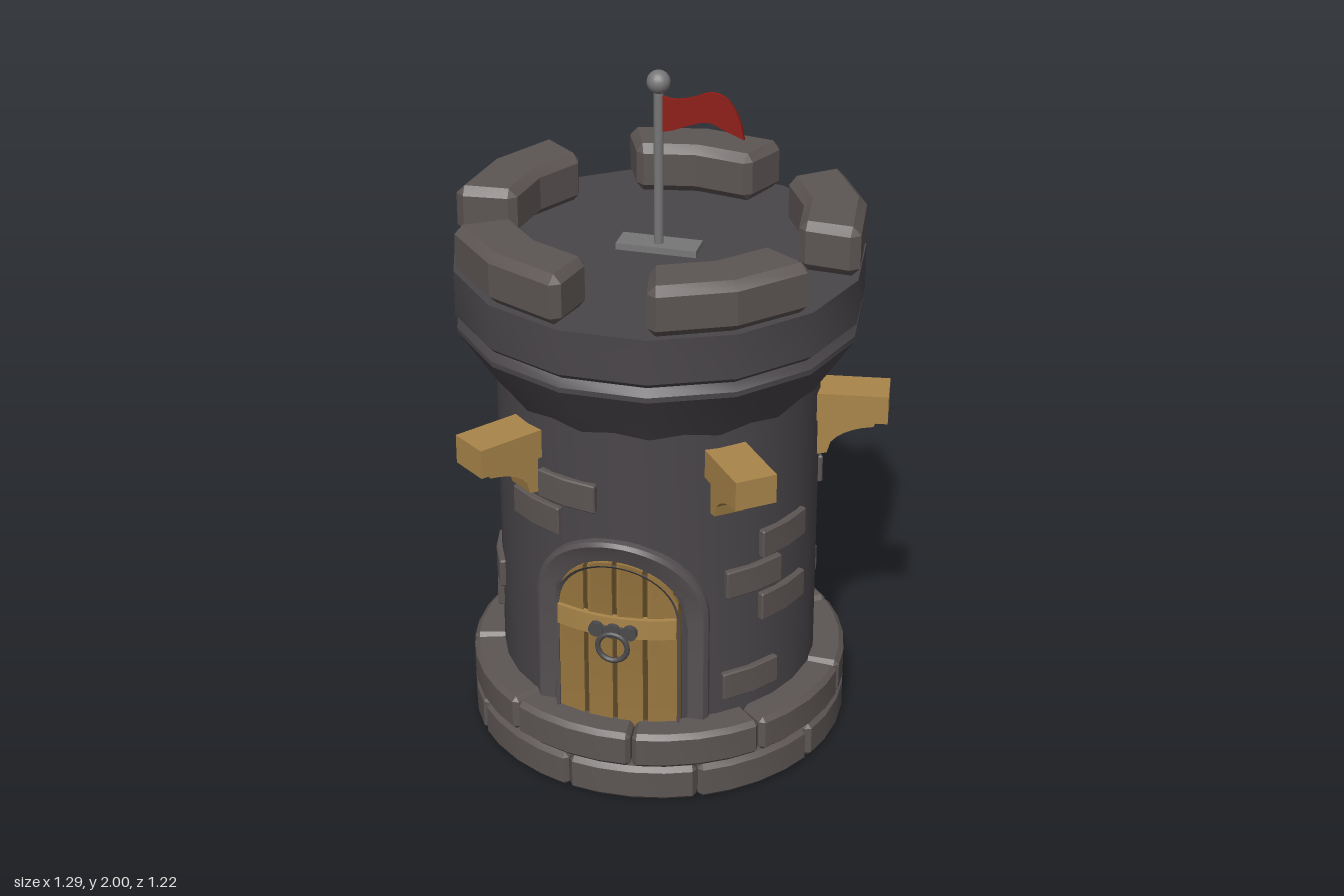
import * as THREE from 'three';
import { toCreasedNormals } from 'three/addons/utils/BufferGeometryUtils.js';

const rad = THREE.MathUtils.degToRad;
const paint = (color) => new THREE.MeshStandardMaterial({ color, side: THREE.DoubleSide });
const wall = paint(0x4a464a), stone = paint(0x5c5553), trim = paint(0x575153);
const wood = paint(0xa9854a), plankWood = paint(0x9a7840), darkWood = paint(0x5e4826);
const metal = paint(0x777777), iron = paint(0x4c4a4c), red = paint(0x8e1d16);

function add(parent, name, geometry, material, x = 0, y = 0, z = 0) {
  const mesh = new THREE.Mesh(geometry, material);
  mesh.name = name;
  mesh.position.set(x, y, z);
  parent.add(mesh);
  return mesh;
}

// Chamfered block following an arc around the tower axis (angles in degrees from the front)
function arcBlock(r0, r1, y0, y1, a0, a1, bevel, segments, crease = 0.3) {
  const section = (s) => {
    const b = bevel, [p, q, u, v] = [r0 + s, r1 - s, y0 + s, y1 - s];
    return s > 0
      ? [[p, u], [p, u], [q, u], [q, u], [q, v], [q, v], [p, v], [p, v]]
      : [[p, u + b], [p + b, u], [q - b, u], [q, u + b], [q, v - b], [q - b, v], [p + b, v], [p, v - b]];
  };
  const inset = bevel / r1;
  const start = rad(a0), end = rad(a1);
  const rows = [[start, bevel]];
  for (let i = 0; i <= segments; i++) {
    let a = start + (end - start) * i / segments;
    if (i === 0) a += inset;
    if (i === segments) a -= inset;
    rows.push([a, 0]);
  }
  rows.push([end, bevel]);
  const pos = [], index = [];
  rows.forEach(([a, s]) => section(s).forEach(([r, y]) => pos.push(r * Math.sin(a), y, r * Math.cos(a))));
  for (let i = 0; i < rows.length - 1; i++) {
    for (let j = 0; j < 8; j++) {
      const k = (j + 1) % 8, A = i * 8, B = A + 8;
      index.push(A + j, B + j, A + k, B + j, B + k, A + k);
    }
  }
  const last = (rows.length - 1) * 8;
  for (let j = 1; j < 7; j++) index.push(0, j, j + 1, last, last + j + 1, last + j);
  const g = new THREE.BufferGeometry();
  g.setAttribute('position', new THREE.Float32BufferAttribute(pos, 3));
  g.setIndex(index);
  return toCreasedNormals(g, crease);
}

// Wrap a flat part around the round wall, keeping its width as seen from the front
function bend(g, radius) {
  const p = g.attributes.position;
  for (let i = 0; i < p.count; i++) {
    const x = p.getX(i);
    p.setZ(i, p.getZ(i) + Math.sqrt(radius * radius - x * x));
  }
  return toCreasedNormals(g, 0.5);
}

function archOutline(target, half, bottom, spring) {
  target.moveTo(-half, bottom);
  target.lineTo(half, bottom);
  target.lineTo(half, spring);
  target.absarc(0, spring, half, 0, Math.PI, false);
  target.lineTo(-half, bottom);
  return target;
}

const lathe = (points, segments) => toCreasedNormals(
  new THREE.LatheGeometry(points.map(([r, y]) => new THREE.Vector2(r, y)), segments, Math.PI), 0.5);

function buildDoor() {
  const door = new THREE.Group();
  door.name = 'door';
  // Arched stone surround
  const frame = archOutline(new THREE.Shape(), 0.251, 0.2, 0.55);
  frame.holes.push(archOutline(new THREE.Path(), 0.172, 0.2, 0.55));
  const b = 0.01;
  add(door, 'doorFrame', bend(new THREE.ExtrudeGeometry(frame, {
    depth: 0.06, curveSegments: 12, bevelSize: b, bevelThickness: b, bevelOffset: -b, bevelSegments: 1,
  }), 0.422), trim);
  // Planks with rounded tops, over a darker backing
  const edges = [-0.18, -0.086, 0, 0.086, 0.18];
  const top = (x) => 0.55 + Math.sqrt(Math.max(0, 0.183 ** 2 - x * x));
  const strip = (x0, x1) => {
    const s = new THREE.Shape();
    s.moveTo(x0, 0.2);
    s.lineTo(x1, 0.2);
    for (let i = 0; i <= 5; i++) {
      const x = x1 + (x0 - x1) * i / 5;
      s.lineTo(x, top(x));
    }
    return s;
  };
  for (let i = 0; i < 4; i++) {
    add(door, 'doorPlank', bend(new THREE.ExtrudeGeometry(strip(edges[i] + 0.007, edges[i + 1] - 0.007),
      { depth: 0.025, bevelEnabled: false }), 0.45), plankWood);
    add(door, 'doorBacking', bend(new THREE.ExtrudeGeometry(strip(edges[i], edges[i + 1]),
      { depth: 0.02, bevelEnabled: false }), 0.446), darkWood);
  }
  const bar = new THREE.BoxGeometry(0.345, 0.062, 0.03, 10, 1, 1);
  add(door, 'doorCrossbar', bend(bar, 0.472), wood, 0, 0.532, 0);
  // Knocker: plate, bosses and ring
  add(door, 'knockerPlate', new THREE.BoxGeometry(0.1, 0.022, 0.015), iron, 0, 0.525, 0.489);
  for (const x of [-0.048, 0, 0.048]) {
    const boss = new THREE.CylinderGeometry(0.022, 0.022, 0.02, 10).rotateX(Math.PI / 2);
    add(door, 'knockerBoss', boss, iron, x, 0.525, 0.491);
  }
  add(door, 'knockerRing', new THREE.TorusGeometry(0.043, 0.008, 8, 20), iron, 0, 0.475, 0.498);
  return door;
}

function buildBracket(angle) {
  const bracket = new THREE.Group();
  bracket.name = 'bracket';
  add(bracket, 'beam', new THREE.BoxGeometry(0.12, 0.085, 0.22), wood, 0, 1.0375, 0.545);
  // Concave brace beneath the beam, drawn in (radius, height)
  const s = new THREE.Shape();
  s.moveTo(0.43, 1.0);
  s.lineTo(0.43, 0.875);
  s.lineTo(0.485, 0.885);
  s.lineTo(0.495, 0.92);
  s.quadraticCurveTo(0.53, 0.965, 0.615, 0.975);
  s.lineTo(0.625, 1.0);
  const brace = new THREE.ExtrudeGeometry(s, { depth: 0.086, bevelEnabled: false, curveSegments: 5 });
  brace.translate(0, 0, -0.043).rotateY(-Math.PI / 2);
  add(bracket, 'brace', brace, wood);
  bracket.rotation.y = rad(angle);
  return bracket;
}

function buildFlag() {
  const flag = new THREE.Group();
  flag.name = 'flagpole';
  add(flag, 'poleBase', new THREE.BoxGeometry(0.23, 0.025, 0.08), metal, 0, 1.482, -0.005);
  add(flag, 'pole', new THREE.CylinderGeometry(0.014, 0.014, 0.47, 12), metal, 0, 1.715, 0);
  add(flag, 'poleBall', new THREE.SphereGeometry(0.033, 16, 12), metal, 0, 1.967, 0);
  // Waving pennant
  const s = new THREE.Shape();
  s.moveTo(0, 1.825);
  s.splineThru([[0.04, 1.833], [0.09, 1.853], [0.14, 1.865], [0.19, 1.845], [0.24, 1.825]]
    .map(([x, y]) => new THREE.Vector2(x, y)));
  s.splineThru([[0.225, 1.885], [0.19, 1.937], [0.145, 1.95], [0.09, 1.93], [0.04, 1.922], [0, 1.932]]
    .map(([x, y]) => new THREE.Vector2(x, y)));
  const cloth = new THREE.ExtrudeGeometry(s, { depth: 0.012, bevelEnabled: false, curveSegments: 4 });
  add(flag, 'pennant', toCreasedNormals(cloth, 0.6), red, 0, 0, -0.006);
  return flag;
}

export function createModel() {
  const model = new THREE.Group();
  model.name = 'tower';
  const tower = new THREE.Group();
  tower.name = 'towerParts';
  tower.position.set(-0.015, 0, 0.043);
  model.add(tower);

  // Round wall, flared crown and deck
  add(tower, 'wall', lathe([[0.461, 0.2], [0.461, 1.14]], 30), wall);
  add(tower, 'crown', lathe([[0.462, 1.12], [0.575, 1.29], [0.575, 1.305], [0.56, 1.328],
    [0.579, 1.345], [0.579, 1.475], [0, 1.475]], 15), wall);

  // Two staggered rings of foundation stones
  for (let row = 0; row < 2; row++) {
    for (let i = 0; i < 9; i++) {
      const a = -13.3 + row * 20 + i * 40;
      add(tower, 'foundationStone', arcBlock(0.42, 0.552, row * 0.11, row * 0.11 + 0.11,
        a + 0.2, a + 39.8, 0.014, 4, 0.25), stone);
    }
  }

  // Battlements, each two facets wide
  for (let i = 0; i < 5; i++) {
    const a = 180 + i * 72;
    add(tower, 'merlon', arcBlock(0.402, 0.577, 1.475, 1.62, a - 24, a + 24, 0.024, 2), stone);
  }

  // Scattered raised bricks: [angle, height]
  const bricks = [[-18, 0.923], [-32, 0.823], [64, 0.743], [50, 0.645], [64, 0.54], [49, 0.312],
    [121, 0.755], [141, 0.528], [127, 0.425], [141, 0.328], [-72, 0.492], [-80, 0.392],
    [221, 1.0], [208, 0.915], [231, 0.67]];
  for (const [a, y] of bricks) {
    add(tower, 'wallBrick', arcBlock(0.44, 0.478, y - 0.043, y + 0.043, a - 11.5, a + 11.5, 0.004, 2, 0.25), stone);
  }

  for (const a of [173.2, 98.4, 38.4, -36.9, -112]) tower.add(buildBracket(a));
  tower.add(buildDoor(), buildFlag());
  return model;
}
